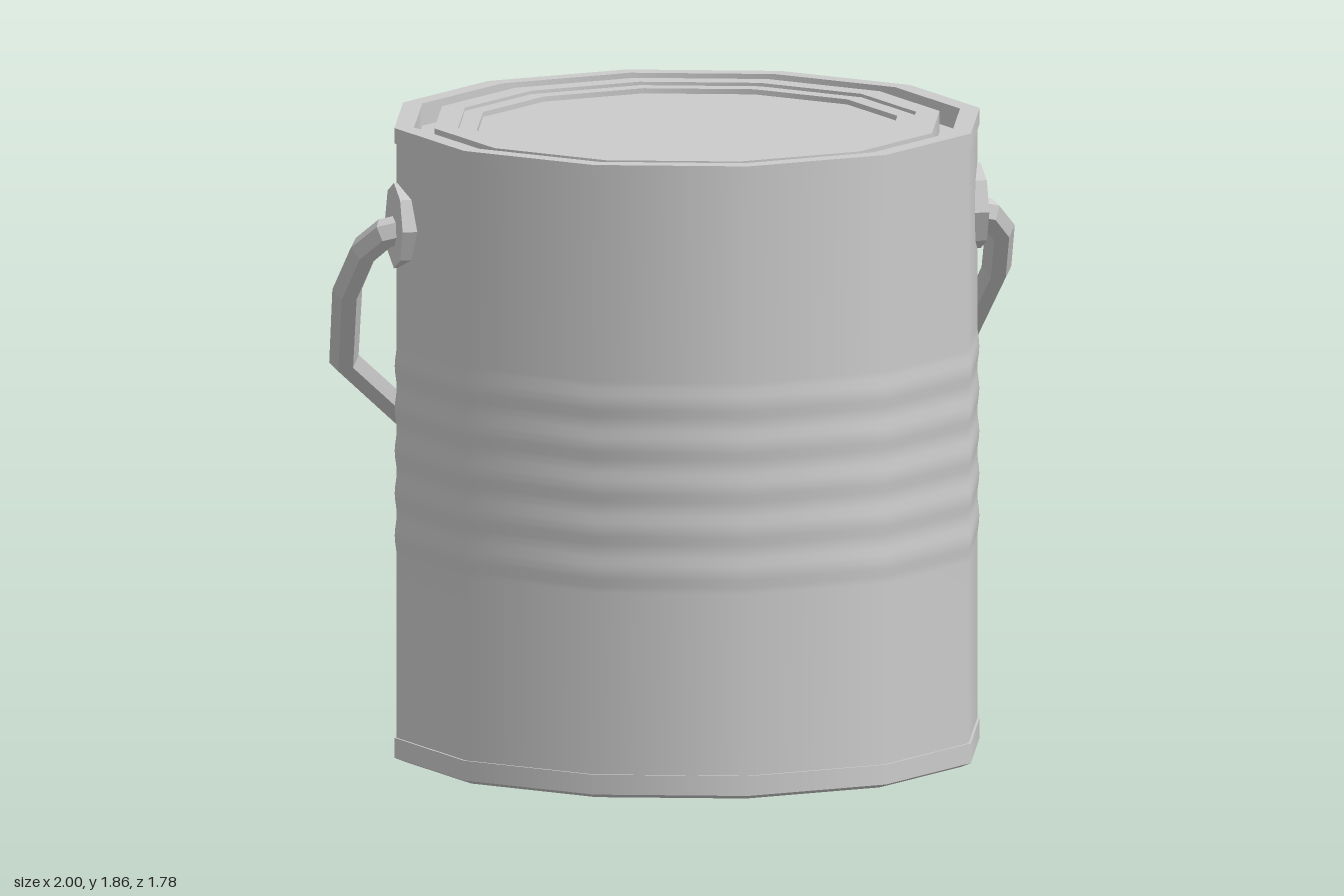
import * as THREE from 'three';
import { mergeGeometries } from 'three/addons/utils/BufferGeometryUtils.js';

const SIDES = 12;
const CAN_Z = 0.025;
const smooth = new THREE.MeshStandardMaterial({ color: 0xcccccc });
const faceted = new THREE.MeshStandardMaterial({ color: 0xcccccc, flatShading: true });

function part(name, geometry, material) {
  const mesh = new THREE.Mesh(geometry, material);
  mesh.name = name;
  return mesh;
}

// Turned shape: smooth around the axis, a sharp edge at every profile point
function sharpLathe(profile) {
  const bands = [];
  for (let i = 0; i < profile.length - 1; i++) {
    const pair = [profile[i], profile[i + 1]].map(([r, y]) => new THREE.Vector2(r, y));
    bands.push(new THREE.LatheGeometry(pair, SIDES));
  }
  const geometry = mergeGeometries(bands);
  geometry.normalizeNormals();
  return geometry;
}

// Can wall with five soft pressed ribs
function wallGeometry() {
  const r = 0.856, ribs = 5, low = 0.6, high = 1.22, steps = ribs * 6;
  const points = [new THREE.Vector2(r, 0.07)];
  for (let i = 0; i <= steps; i++) {
    const t = i / steps;
    const bump = 0.003 * (1 - Math.cos(t * ribs * Math.PI * 2));
    points.push(new THREE.Vector2(r + bump, low + t * (high - low)));
  }
  points.push(new THREE.Vector2(r, 1.81));
  const geometry = new THREE.LatheGeometry(points, SIDES);
  geometry.normalizeNormals();
  return geometry;
}

// Bail handle: a hexagonal section swept with mitred corners in a tilted plane
function handleGeometry() {
  const half = [[0.83, 0.03], [0.89, 0.015], [0.937, -0.045], [0.957, -0.19],
    [0.912, -0.455], [0.705, -0.655], [0.385, -0.795], [0, -0.85]];
  const outline = [...half, ...half.slice(0, -1).reverse().map(([x, z]) => [-x, z])];
  const slope = 0.944, radius = 0.044, n = 6;
  const path = outline.map(([x, z]) => new THREE.Vector3(x, 1.56 + (z - 0.03) * slope, z));
  const planeNormal = new THREE.Vector3(0, 1, -slope).normalize();
  const positions = [], index = [];
  path.forEach((p, i) => {
    const before = p.clone().sub(path[Math.max(i - 1, 0)]).normalize();
    const after = path[Math.min(i + 1, path.length - 1)].clone().sub(p).normalize();
    const tangent = before.add(after).normalize();
    const side = new THREE.Vector3().crossVectors(planeNormal, tangent);
    for (let k = 0; k < n; k++) {
      const a = (k / n) * Math.PI * 2;
      const v = p.clone().addScaledVector(side, radius * Math.cos(a))
        .addScaledVector(planeNormal, radius * Math.sin(a));
      positions.push(v.x, v.y, v.z);
      if (i < path.length - 1) {
        const a0 = i * n + k, b0 = i * n + (k + 1) % n;
        index.push(a0, b0, a0 + n, b0, b0 + n, a0 + n);
      }
    }
  });
  const geometry = new THREE.BufferGeometry();
  geometry.setAttribute('position', new THREE.Float32BufferAttribute(positions, 3));
  geometry.setIndex(index);
  geometry.computeVertexNormals();
  return geometry;
}

export function createModel() {
  const model = new THREE.Group();
  model.name = 'paintCan';

  const can = new THREE.Group();
  can.name = 'can';
  can.position.z = CAN_Z;
  model.add(can);

  can.add(part('wall', wallGeometry(), smooth));

  // Bottom rim, slightly bevelled, around a recessed base
  can.add(part('base', sharpLathe([
    [0, 0.03], [0.8, 0.03], [0.8, 0], [0.835, 0], [0.863, 0.012], [0.863, 0.07], [0.856, 0.07],
  ]), smooth));

  // Top rim, groove, raised ring and sunken centre of the lid
  can.add(part('topRim', sharpLathe([
    [0.856, 1.81], [0.863, 1.81], [0.863, 1.855], [0.805, 1.855], [0.805, 1.79],
  ]), smooth));
  can.add(part('lid', sharpLathe([
    [0.805, 1.79], [0.745, 1.79], [0.745, 1.85], [0.675, 1.85],
    [0.675, 1.84], [0.62, 1.84], [0.62, 1.825], [0, 1.825],
  ]), smooth));

  // Octagonal lugs holding the handle
  for (const [side, name] of [[1, 'leftLug'], [-1, 'rightLug']]) {
    const lug = part(name, new THREE.CylinderGeometry(0.125, 0.125, 0.07, 8), faceted);
    lug.rotation.z = Math.PI / 2;
    lug.position.set(side * 0.83, 1.57, 0.028);
    model.add(lug);
  }

  model.add(part('handle', handleGeometry(), faceted));
  return model;
}
